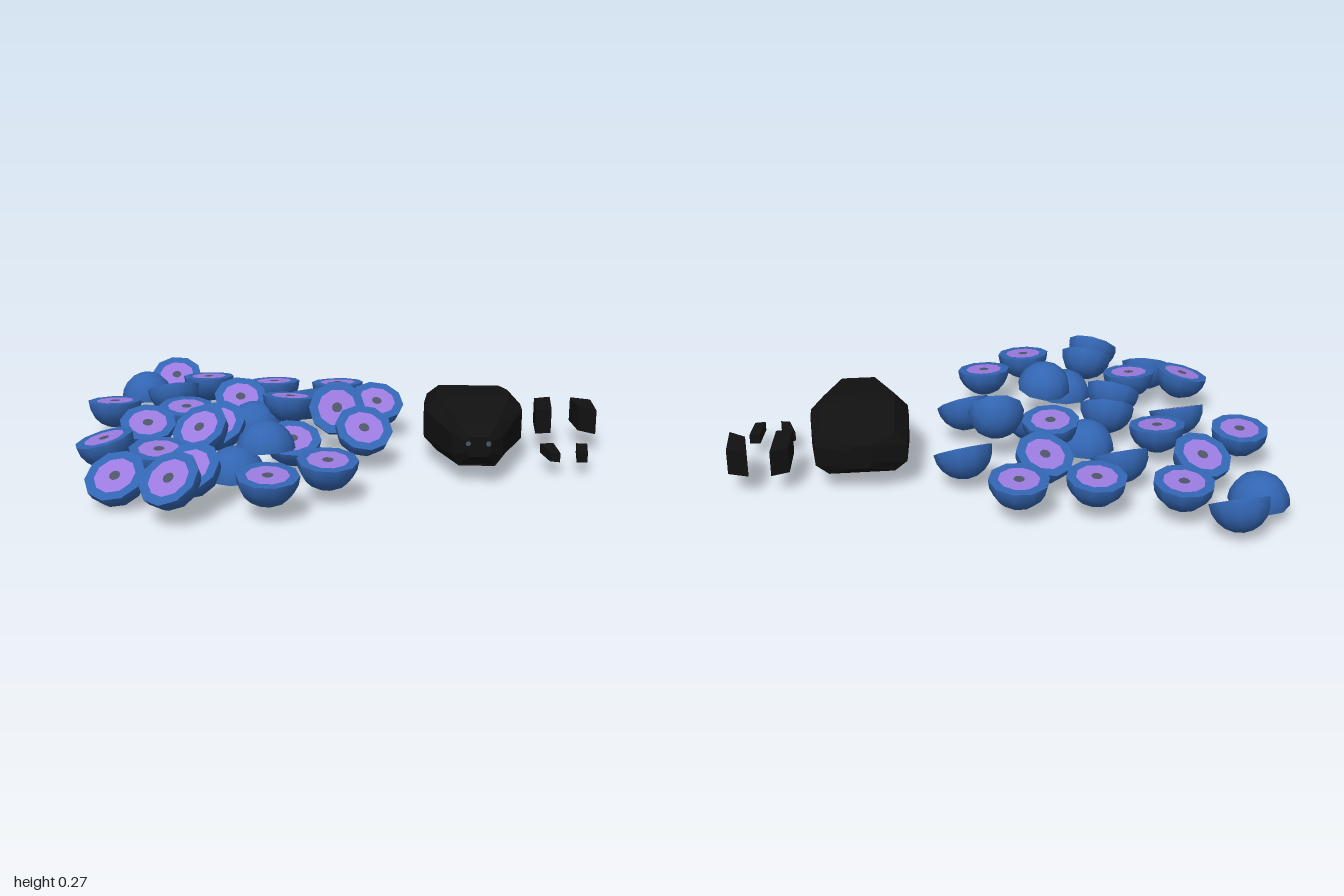
import * as THREE from 'three';

const R = 0.108;
const blue = new THREE.MeshStandardMaterial({ color: 0x3265b2 });
const purple = new THREE.MeshStandardMaterial({ color: 0x9a7ade });
const grey = new THREE.MeshStandardMaterial({ color: 0x4c5566 });
const black = new THREE.MeshStandardMaterial({ color: 0x111111, flatShading: true });

function part(name, geometry, material, parent) {
  const mesh = new THREE.Mesh(geometry, material);
  mesh.name = name;
  parent.add(mesh);
  return mesh;
}

// Halved berry: skin bowl below a flat cut made of three rings
const skinGeo = new THREE.SphereGeometry(R, 10, 5, 0, Math.PI * 2, Math.PI / 2, Math.PI / 2);
const flat = (a, b) => new THREE.RingGeometry(a, b, 10).rotateX(-Math.PI / 2);
const rimGeo = flat(0.074, R);
const fleshGeo = flat(0.02, 0.074);
const coreGeo = new THREE.CircleGeometry(0.02, 10).rotateX(-Math.PI / 2);

// Cut centre, tilt in degrees, and heading of the tilt (0 is forward, 90 is +x)
function addHalf(parent, x, y, z, tilt, heading) {
  const g = new THREE.Group();
  g.name = 'berryHalf';
  part('skin', skinGeo, blue, g);
  part('rim', rimGeo, blue, g);
  part('flesh', fleshGeo, purple, g);
  part('core', coreGeo, grey, g);
  g.position.set(x, y, z);
  const h = THREE.MathUtils.degToRad(heading);
  const axis = new THREE.Vector3(Math.cos(h), 0, -Math.sin(h));
  g.quaternion.setFromAxisAngle(axis, THREE.MathUtils.degToRad(tilt));
  parent.add(g);
}

function makeBerries() {
  const berries = new THREE.Group();
  berries.name = 'berries';
  // Lying nearly level: x, z
  for (const [x, z] of [
    [-0.58, -0.61], [-0.29, -0.54], [-0.02, -0.53], [-0.9, -0.2], [-0.6, -0.13],
    [-0.61, 0.42], [-0.01, 0.52], [-0.2, 0.69],
  ]) addHalf(berries, x, 0.155, z, 6, z < -0.15 ? 190 : 20);
  // Leaning back: x, z
  for (const [x, z] of [[-0.7, -0.41], [-0.14, -0.34]]) addHalf(berries, x, 0.155, z, 25, 202);
  // Turned over: x, y, z
  for (const [x, y, z] of [
    [-0.85, 0.06, -0.61], [-0.33, 0.07, -0.12], [-0.34, 0.06, 0.43], [-0.24, 0.13, 0.35],
  ]) addHalf(berries, x, y, z, y > 0.1 ? 170 : 180, 25);
  // Propped up by their neighbours: x, y, z, tilt, heading
  for (const half of [
    [-0.74, 0.13, -0.73, 32, 6], [-0.41, 0.14, -0.34, 32, 11], [0.15, 0.15, -0.26, 30, 17],
    [-0.19, 0.2, -0.14, 8, 163], [0, 0.19, -0.01, 56, 0], [-0.72, 0.14, 0.05, 24, 11],
    [-0.45, 0.15, 0.08, 36, -17], [-0.5, 0.17, 0.2, 38, -29], [-0.16, 0.11, 0.13, 22, 11],
    [0.107, 0.16, 0.15, 35, 17], [-0.82, 0.17, 0.35, 14, -85], [-0.73, 0.115, 0.6, 34, -17],
    [-0.47, 0.16, 0.63, 36, -24], [-0.52, 0.16, 0.745, 40, -30],
  ]) addHalf(berries, ...half);
  return berries;
}

// Chamfered eight-sided hull lofted along z: [z, half width, bottom, top]
function makeHullGeometry() {
  const sections = [
    [-0.292, 0.04, 0.11, 0.2],
    [-0.25, 0.165, 0.075, 0.22],
    [-0.03, 0.183, 0.04, 0.262],
    [0.05, 0.183, 0.042, 0.258],
    [0.31, 0.09, 0.07, 0.222],
    [0.35, 0.045, 0.115, 0.19],
  ];
  const pos = [], idx = [];
  for (const [z, w, b, t] of sections) {
    const cx = w * 0.28, cy = (t - b) * 0.25;
    for (const [x, y] of [
      [w, b + cy], [w, t - cy], [w - cx, t], [cx - w, t],
      [-w, t - cy], [-w, b + cy], [cx - w, b], [w - cx, b],
    ]) pos.push(x, y, z);
  }
  const last = (sections.length - 1) * 8;
  for (let o = 0; o < last; o += 8) {
    for (let j = 0; j < 8; j++) {
      const a = o + j, b = o + (j + 1) % 8;
      idx.push(a, b, b + 8, a, b + 8, a + 8);
    }
  }
  for (let j = 1; j < 7; j++) {
    idx.push(0, j + 1, j, last, last + j, last + j + 1);
  }
  const geo = new THREE.BufferGeometry();
  geo.setAttribute('position', new THREE.Float32BufferAttribute(pos, 3));
  geo.setIndex(idx);
  geo.computeVertexNormals();
  return geo;
}

// Upright slab from an outline in x and z, between two heights
function slab(outline, y0, y1) {
  const shape = new THREE.Shape(outline.map(([x, z]) => new THREE.Vector2(x, -z)));
  const geo = new THREE.ExtrudeGeometry(shape, { depth: y1 - y0, bevelEnabled: false });
  return geo.rotateX(-Math.PI / 2).translate(0, y0, 0);
}

export function createModel() {
  const model = new THREE.Group();
  model.name = 'berriesAndCreature';
  model.add(makeBerries());

  // Dark body with small eyes and a mouth slit
  const body = new THREE.Group();
  body.name = 'body';
  body.position.x = 0.515;
  part('hull', makeHullGeometry(), black, body);
  for (const s of [-1, 1]) {
    part('eye', new THREE.CircleGeometry(0.01, 6), grey, body).position.set(s * 0.036, 0.165, 0.352);
  }
  part('mouth', new THREE.BoxGeometry(0.13, 0.006, 0.01), black, body).position.set(0, 0.075, 0.312);
  model.add(body);

  // Loose limbs beside the body
  const limbs = new THREE.Group();
  limbs.name = 'limbs';
  part('backLimb', slab([[0.775, -0.23], [0.84, -0.255], [0.825, -0.07], [0.765, -0.06]], 0.08, 0.175), black, limbs);
  part('backLimb', slab([[0.92, -0.25], [0.995, -0.22], [0.995, -0.06], [0.935, -0.11]], 0.08, 0.175), black, limbs);
  part('frontLimb', slab([[0.765, 0.1], [0.815, 0.09], [0.825, 0.215], [0.79, 0.205]], 0.055, 0.09), black, limbs);
  part('frontLimb', slab([[0.9, 0.09], [0.94, 0.095], [0.925, 0.21], [0.885, 0.215]], 0.055, 0.09), black, limbs);
  model.add(limbs);

  return model;
}
